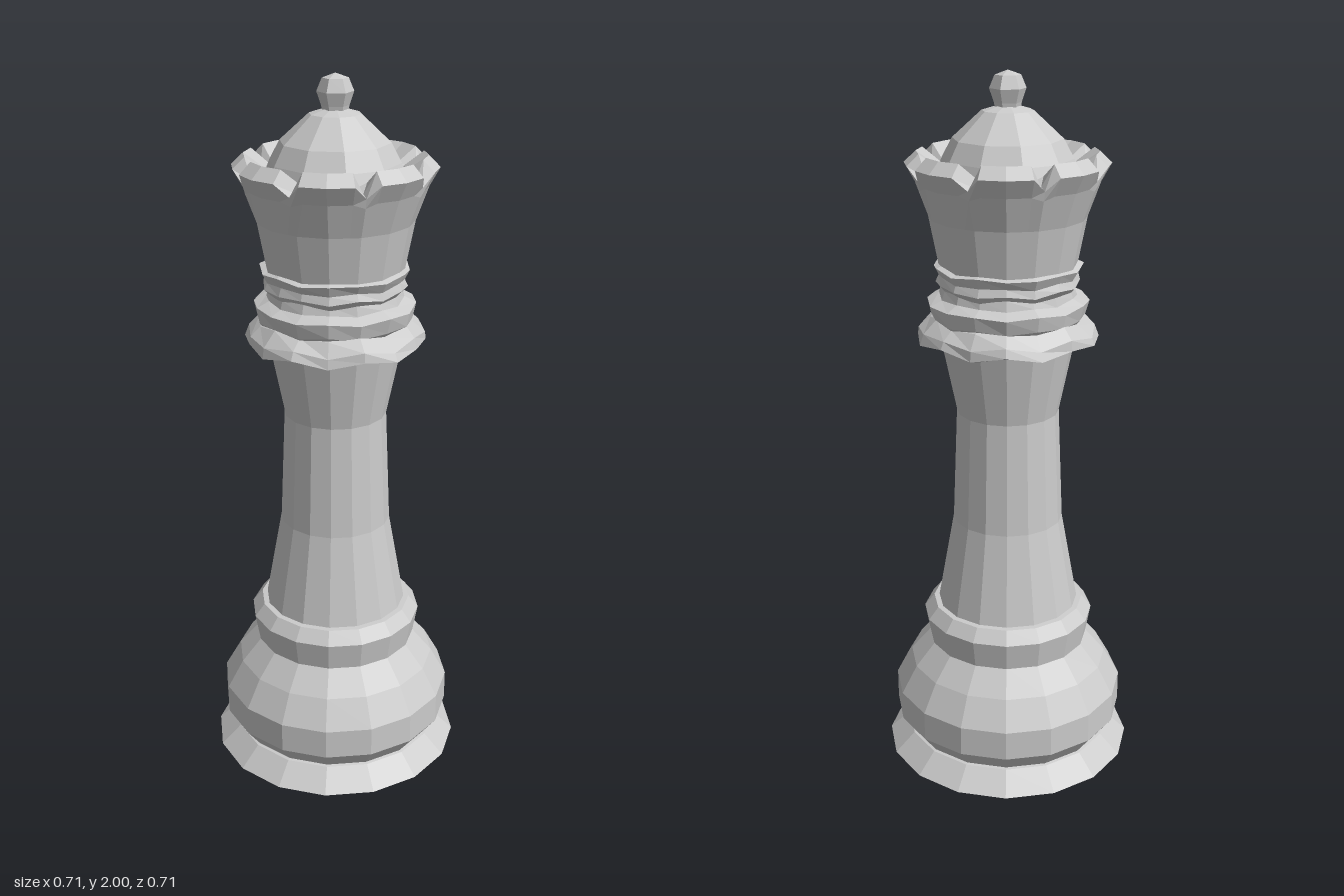
import * as THREE from 'three';

const material = new THREE.MeshStandardMaterial({ color: 0xcccccc, flatShading: true });

// Faceted turned part from [radius, height] pairs, listed bottom to top
function turned(name, profile, sides = 16) {
  const points = profile.map(([r, y]) => new THREE.Vector2(r, y));
  const mesh = new THREE.Mesh(new THREE.LatheGeometry(points, sides), material);
  mesh.name = name;
  return mesh;
}

// Slightly uneven ring: nudges radius and height around the axis
function unevenRing(name, profile, amount, phase) {
  const mesh = turned(name, profile);
  const pos = mesh.geometry.attributes.position;
  for (let i = 0; i < pos.count; i++) {
    const x = pos.getX(i), y = pos.getY(i), z = pos.getZ(i);
    const a = Math.atan2(x, z);
    const s = 1 + 2.5 * amount * Math.sin(5 * a + phase + y * 40);
    pos.setXYZ(i, x * s, y + amount * Math.sin(7 * a + phase + y * 25), z * s);
  }
  return mesh;
}

// Closed skin through rings of equal length, bottom to top
function loft(name, rings) {
  const n = rings[0].length;
  const index = [];
  for (let i = 0; i < rings.length - 1; i++) {
    for (let j = 0; j < n; j++) {
      const a = i * n + j, b = i * n + (j + 1) % n;
      index.push(a, b, b + n, a, b + n, a + n);
    }
  }
  const geometry = new THREE.BufferGeometry();
  geometry.setAttribute('position', new THREE.Float32BufferAttribute(rings.flat(2), 3));
  geometry.setIndex(index);
  geometry.computeVertexNormals();
  const mesh = new THREE.Mesh(geometry, material);
  mesh.name = name;
  return mesh;
}

// Flared crown: each of eight sectors has a notch, then a tooth of three columns
function crown() {
  const columns = [0, 7.5, 22.5, 37.5];
  const half = Math.PI / 16;
  const ring = (tooth, notch) => {
    const out = [];
    for (let k = 0; k < 8; k++) {
      columns.forEach((deg, c) => {
        const [r, y] = c === 0 ? notch : tooth;
        const a = THREE.MathUtils.degToRad(k * 45 + deg);
        // Keep in-between columns on the flats of a 16-sided outline
        const off = (a % (2 * half)) - half;
        const flat = r * Math.cos(half) / Math.cos(off);
        out.push([flat * Math.sin(a), y, flat * Math.cos(a)]);
      });
    }
    return out;
  };
  return loft('crown', [
    ring([0.183, 1.49], [0.183, 1.49]),
    ring([0.21, 1.63], [0.21, 1.63]),
    ring([0.243, 1.72], [0.24, 1.71]),
    ring([0.27, 1.768], [0.246, 1.735]),
    ring([0.238, 1.798], [0.222, 1.742]),
    ring([0.185, 1.76], [0.18, 1.75]),
    ring([0.16, 1.73], [0.16, 1.73]),
  ]);
}

export function createModel() {
  const group = new THREE.Group();
  group.name = 'chessQueen';

  // Foot, bulging base and the ring above it
  group.add(turned('foot', [[0, 0], [0.285, 0.005], [0.355, 0.053], [0.297, 0.108], [0.27, 0.115]]));
  group.add(turned('baseBulge', [[0.285, 0.105], [0.33, 0.165], [0.33, 0.25], [0.285, 0.33], [0.225, 0.4]]));
  group.add(turned('baseRing', [[0.228, 0.39], [0.243, 0.475], [0.215, 0.51], [0.19, 0.512]]));

  // Tapering shaft
  group.add(turned('shaft', [[0.202, 0.5], [0.154, 0.77], [0.141, 1.09], [0.182, 1.29]]));

  // Collar under the head
  group.add(unevenRing('lowerCollar',
    [[0.16, 1.28], [0.245, 1.305], [0.238, 1.33], [0.205, 1.362], [0.18, 1.375]], 0.009, 0.6));
  group.add(unevenRing('middleCollar',
    [[0.19, 1.345], [0.208, 1.365], [0.218, 1.405], [0.185, 1.42], [0.178, 1.445]], 0.004, 2.1));
  group.add(unevenRing('upperCollar',
    [[0.17, 1.43], [0.193, 1.455], [0.186, 1.475], [0.2, 1.5], [0.17, 1.51]], 0.005, 4));

  // Head
  group.add(crown());
  group.add(turned('dome',
    [[0.19, 1.735], [0.172, 1.78], [0.145, 1.83], [0.068, 1.9], [0, 1.92]], 10));
  group.add(turned('finial',
    [[0.03, 1.89], [0.036, 1.92], [0.048, 1.955], [0.034, 1.988], [0, 2]], 6));

  return group;
}
